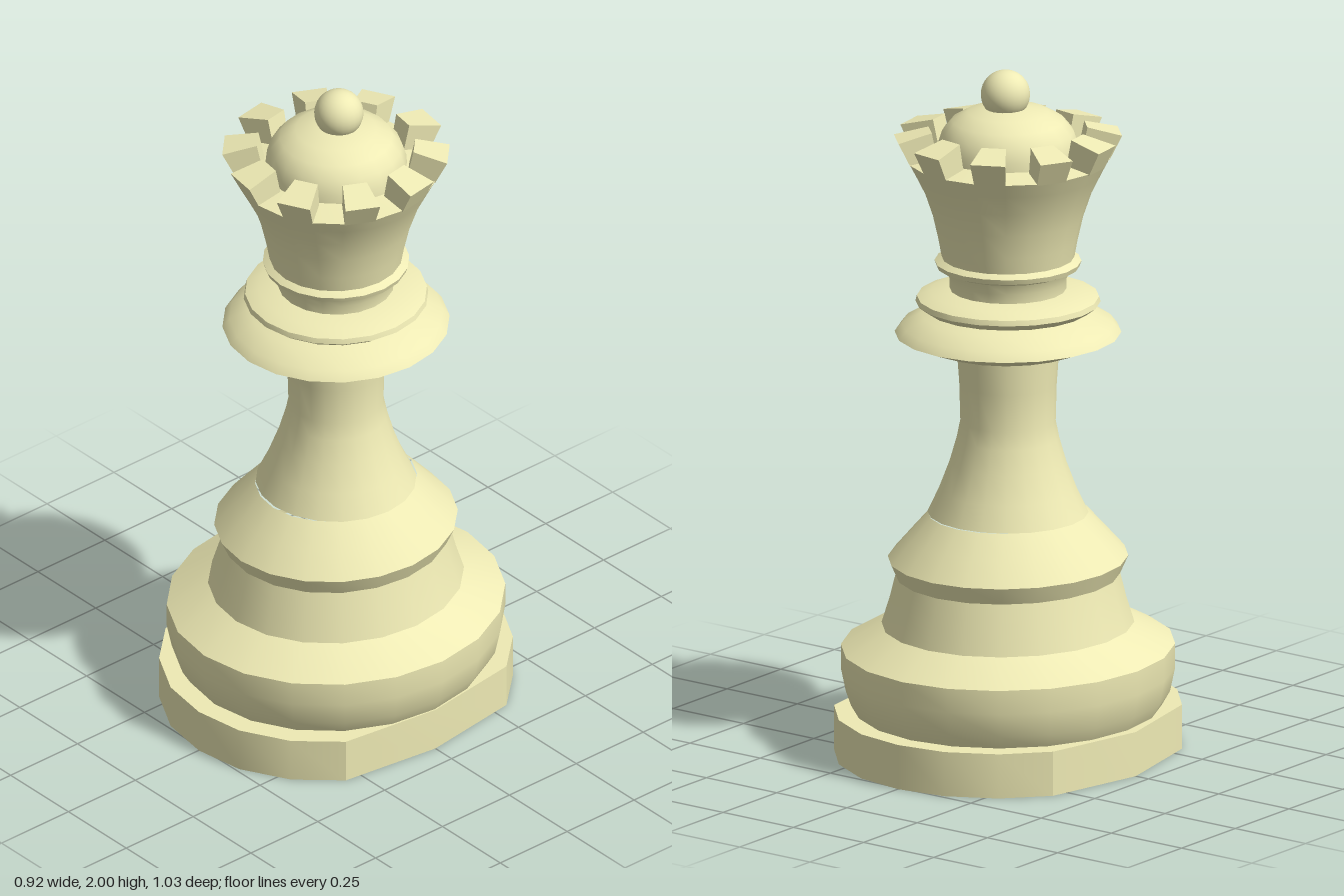
import * as THREE from 'three';
import { toCreasedNormals } from 'three/addons/utils/BufferGeometryUtils.js';
import { ConvexGeometry } from 'three/addons/geometries/ConvexGeometry.js';

const SIDES = 20;
const STEP = (Math.PI * 2) / SIDES;

export function createModel() {
  const group = new THREE.Group();
  group.name = 'chessQueen';
  const material = new THREE.MeshStandardMaterial({ color: 0xeeeab4 });

  function add(name, geometry, parent = group) {
    const mesh = new THREE.Mesh(geometry, material);
    mesh.name = name;
    parent.add(mesh);
    return mesh;
  }

  // Turned part from [radius, height] pairs, narrowed in x
  function turned(name, profile, xScale = 1, crease = 0.6) {
    const points = profile.map(([r, y]) => new THREE.Vector2(r, y));
    const geometry = new THREE.LatheGeometry(points, SIDES);
    geometry.scale(xScale, 1, 1);
    return add(name, toCreasedNormals(geometry, crease));
  }

  // Plinth: rounded at front and back, flattened towards the sides
  const arc = [[-0.39, 0.3], [-0.285, 0.415], [-0.148, 0.49], [0, 0.513], [0.148, 0.49], [0.285, 0.415], [0.39, 0.3]];
  const outline = [[-0.455, 0], ...arc, [0.43, 0], ...arc.map(([x, z]) => [-x, -z])];
  const plinthShape = new THREE.Shape(outline.map(([x, z]) => new THREE.Vector2(x, z)));
  const plinth = new THREE.ExtrudeGeometry(plinthShape, { depth: 0.13, bevelEnabled: false });
  plinth.rotateX(-Math.PI / 2);
  add('plinth', toCreasedNormals(plinth, 0.5));

  // Foot with its bulging drum and concave shoulder
  turned('foot', [
    [0, 0.125], [0.45, 0.125], [0.477, 0.17], [0.492, 0.24], [0.492, 0.31],
    [0.372, 0.375], [0.348, 0.45], [0.33, 0.52],
  ], 0.94);

  // Ridge flowing up to the slim stem
  turned('skirt', [[0.33, 0.518], [0.354, 0.57], [0.295, 0.635], [0.235, 0.7]], 0.94);
  turned('stem', [
    [0.228, 0.7], [0.195, 0.77], [0.165, 0.85], [0.145, 0.92],
    [0.135, 0.97], [0.138, 1.08], [0.146, 1.19],
  ]);

  // Wide collar and the narrower ring above it
  turned('collar', [
    [0, 1.172], [0.145, 1.172], [0.22, 1.19], [0.325, 1.23], [0.305, 1.255], [0.25, 1.285], [0.2, 1.3],
  ], 0.98);
  turned('collarRing', [
    [0.19, 1.292], [0.235, 1.3], [0.262, 1.32], [0.258, 1.335], [0.22, 1.35], [0.165, 1.358],
  ]);
  turned('neck', [[0.165, 1.35], [0.165, 1.385], [0.178, 1.415], [0.203, 1.425], [0.208, 1.44], [0.188, 1.452]]);

  // Flared crown with a rim floor between the merlons
  turned('crown', [
    [0.188, 1.445], [0.198, 1.5], [0.214, 1.57], [0.238, 1.64], [0.268, 1.7], [0.29, 1.742], [0.2, 1.755],
  ], 0.99);

  // Ten merlons, one on every other side of the rim
  const merlons = new THREE.Group();
  merlons.name = 'merlons';
  group.add(merlons);
  const section = [[0.203, 1.73], [0.288, 1.738], [0.323, 1.808], [0.225, 1.832]];
  const corners = [];
  for (const angle of [-STEP, 0]) {
    for (const [r, y] of section) {
      corners.push(new THREE.Vector3(r * Math.sin(angle), y, r * Math.cos(angle)));
    }
  }
  const merlonGeometry = new ConvexGeometry(corners);
  for (let i = 0; i < SIDES / 2; i++) {
    add('merlon', merlonGeometry, merlons).rotation.y = i * STEP * 2;
  }

  // Domed cap and ball finial
  turned('dome', [
    [0.202, 1.74], [0.2, 1.78], [0.187, 1.82], [0.16, 1.853], [0.115, 1.878], [0.06, 1.891], [0, 1.895],
  ], 1, 0.8);
  const finial = add('finial', new THREE.SphereGeometry(0.07, 24, 16));
  finial.position.set(0.003, 1.93, -0.008);

  return group;
}
